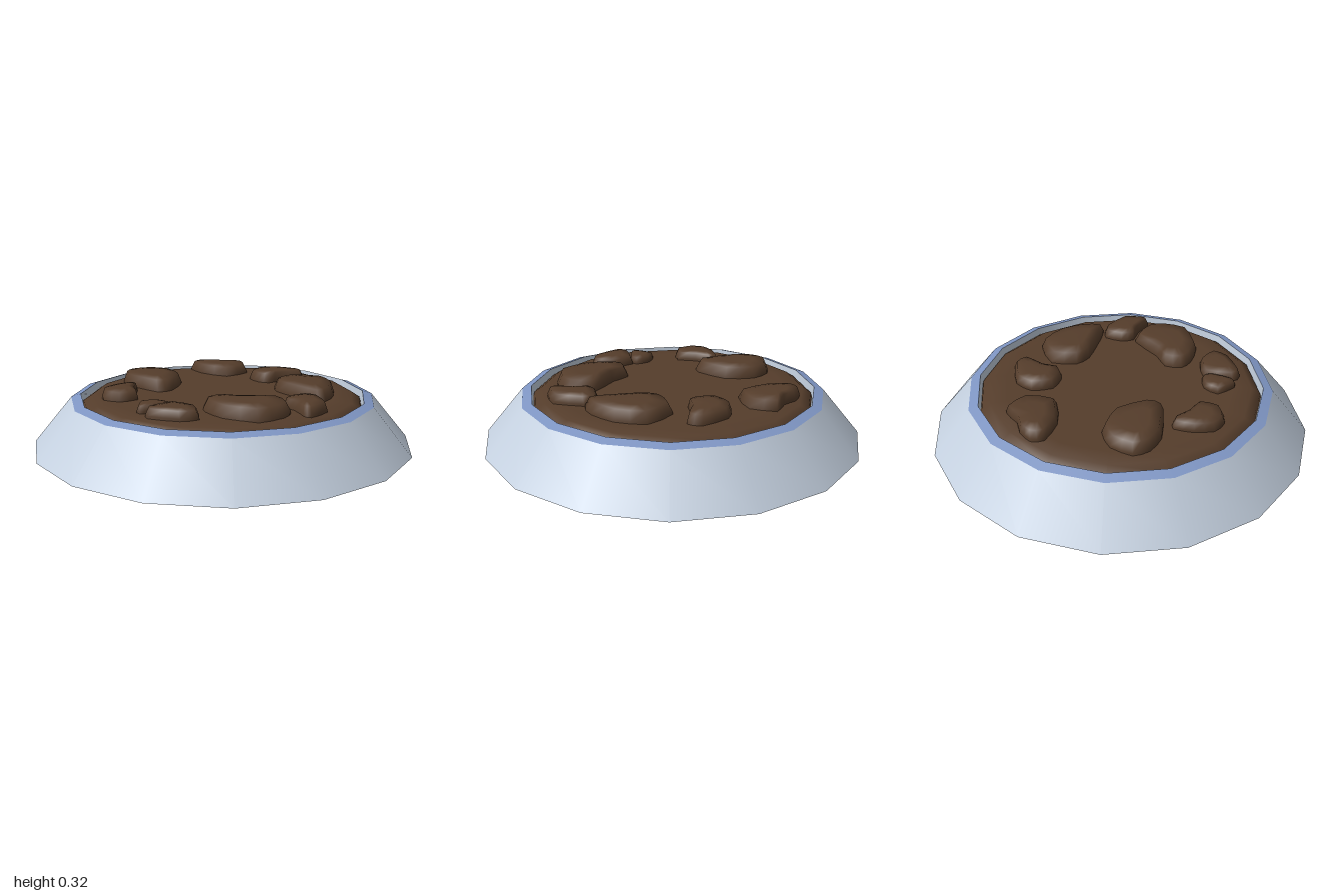
import * as THREE from 'three';

const SIDES = 16;
const SOIL_Y = 0.258;

const material = (name, color, side = THREE.FrontSide) =>
  Object.assign(new THREE.MeshStandardMaterial({ color, side }), { name });

// Turned part with one profile, listed as [radius, height] from bottom to top
function turned(name, profile, mat) {
  const points = profile.map(([r, y]) => new THREE.Vector2(r, y));
  const mesh = new THREE.Mesh(new THREE.LatheGeometry(points, SIDES), mat);
  mesh.name = name;
  return mesh;
}

// Clod: rounded outline on the soil, lofted inwards through a few rings to a flattened top
function clodGeometry(outline, top) {
  const curve = new THREE.CatmullRomCurve3(
    outline.map(([x, z]) => new THREE.Vector3(x, 0, z)), true, 'catmullrom', 0.3);
  const count = outline.length * 2;
  const rim = curve.getPoints(count).slice(0, count);
  const centre = rim.reduce((sum, p) => sum.add(p), new THREE.Vector3()).divideScalar(count);
  const rings = [[1, SOIL_Y - 0.03], [0.99, SOIL_Y + 0.01], [0.87, top - 0.007], [0.5, top]];
  const positions = [], index = [];
  for (const [scale, y] of rings) {
    for (const p of rim) {
      positions.push(centre.x + (p.x - centre.x) * scale, y, centre.z + (p.z - centre.z) * scale);
    }
  }
  positions.push(centre.x, top, centre.z);
  const apex = rings.length * count;
  for (let r = 0; r < rings.length; r++) {
    for (let i = 0; i < count; i++) {
      const j = (i + 1) % count;
      const a = r * count + i, b = r * count + j;
      if (r === rings.length - 1) index.push(a, apex, b);
      else index.push(a, a + count, b, b, a + count, b + count);
    }
  }
  // Outlines run clockwise from above; flip the faces if one runs the other way
  const area = outline.reduce((s, [x, z], i) => {
    const [nx, nz] = outline[(i + 1) % outline.length];
    return s + x * nz - nx * z;
  }, 0);
  if (area < 0) index.reverse();
  const geometry = new THREE.BufferGeometry();
  geometry.setAttribute('position', new THREE.Float32BufferAttribute(positions, 3));
  geometry.setIndex(index);
  geometry.computeVertexNormals();
  return geometry;
}

// Clod outlines as [x, z], with the height of each top
const CLODS = [
  { top: 0.325, outline: [[-.24, -.48], [-.19, -.58], [-.11, -.62], [0, -.57], [.05, -.46], [0, -.31], [-.16, -.22], [-.24, -.25]] },
  { top: 0.31, outline: [[-.54, -.33], [-.49, -.4], [-.39, -.42], [-.29, -.4], [-.29, -.35], [-.36, -.29], [-.42, -.2], [-.52, -.23]] },
  { top: 0.315, outline: [[.27, -.41], [.31, -.54], [.38, -.55], [.44, -.49], [.47, -.41], [.54, -.33], [.46, -.22], [.3, -.24]] },
  { top: 0.315, outline: [[.31, -.01], [.34, -.1], [.45, -.13], [.54, -.07], [.58, .08], [.53, .14], [.42, .07], [.33, .05]] },
  { top: 0.325, outline: [[.19, .22], [.25, .15], [.39, .15], [.47, .31], [.38, .45], [.25, .52], [.14, .52], [.16, .36]] },
  { top: 0.312, outline: [[-.11, .61], [-.06, .52], [-.04, .44], [.03, .42], [.12, .45], [.13, .52], [.03, .65], [-.1, .65]] },
  { top: 0.325, outline: [[-.4, .36], [-.37, .22], [-.32, .16], [-.23, .17], [-.18, .27], [-.05, .42], [-.11, .54], [-.2, .57], [-.34, .53]] },
  { top: 0.31, outline: [[-.63, .1], [-.59, .05], [-.44, .07], [-.42, .21], [-.49, .3], [-.57, .25]] },
  { top: 0.3, outline: [[-.6, -.01], [-.51, -.08], [-.44, -.03], [-.43, .05], [-.48, .07], [-.59, .03]] },
];

export function createModel() {
  const model = new THREE.Group();
  model.name = 'planterBed';
  const stone = material('pale stone', 0xc3cfde);
  const trim = material('blue trim', 0x7f96c4);
  const earth = material('brown earth', 0x553d2b);

  // Sloped wall, rim and inner wall
  model.add(turned('outerWall', [[1, 0], [0.8, 0.24]], stone));
  model.add(turned('rim', [[0.8, 0.24], [0.75, 0.255]], trim));
  model.add(turned('innerWall', [[0.75, 0.255], [0.74, 0.18]], stone));

  // Underside
  model.add(turned('base', [[0, 0], [1, 0]], trim));

  // Soil with a rounded edge sunk below the rim
  model.add(turned('soil', [[0.745, 0.19], [0.735, 0.222], [0.69, 0.252], [0.6, SOIL_Y], [0, SOIL_Y]], earth));

  // Clods of earth lying around the edge
  const clods = new THREE.Group();
  clods.name = 'clods';
  for (const { top, outline } of CLODS) {
    const clod = new THREE.Mesh(clodGeometry(outline, top), earth);
    clod.name = 'clod';
    clods.add(clod);
  }
  model.add(clods);
  return model;
}
